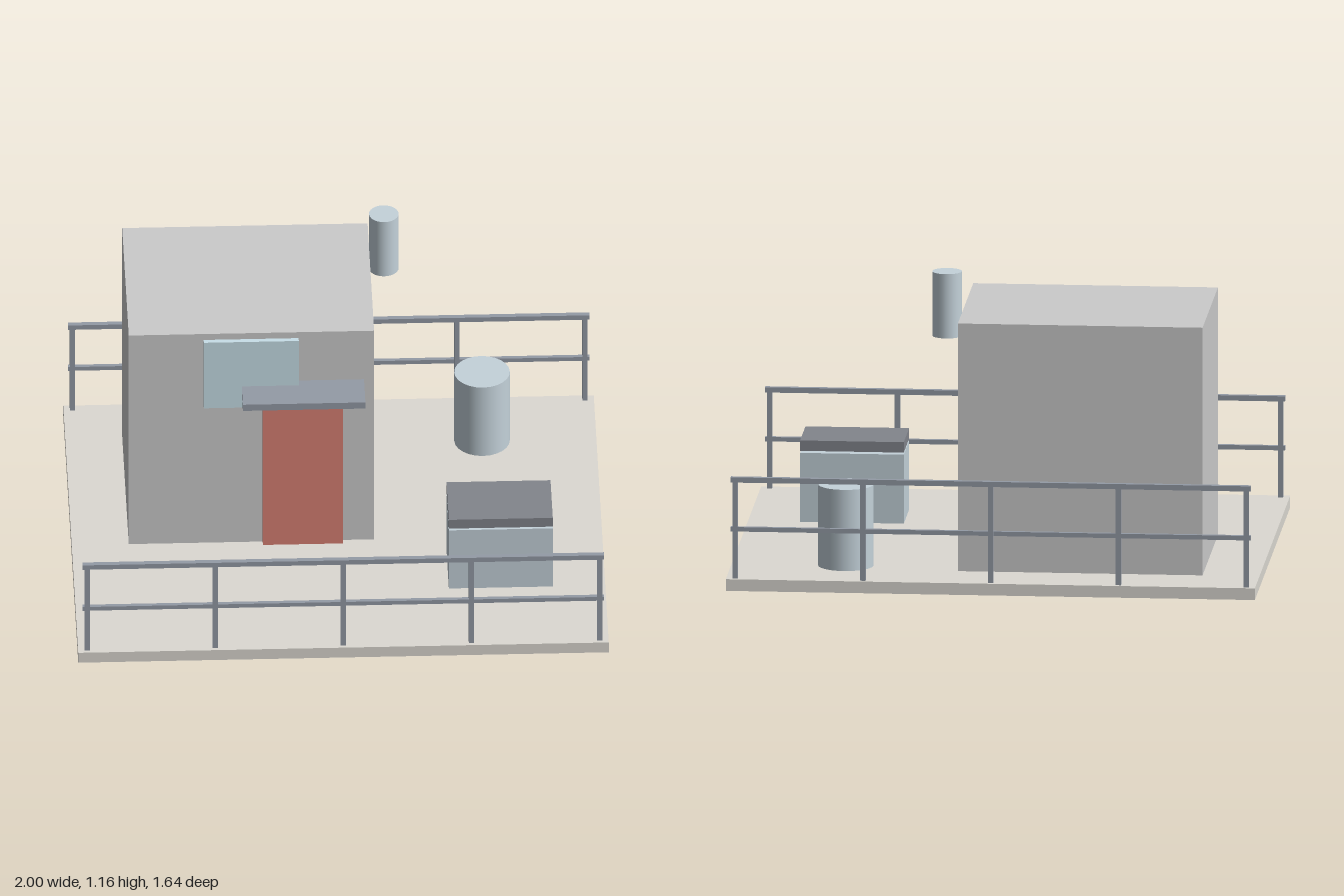
import * as THREE from 'three';

const paint = (color) => new THREE.MeshStandardMaterial({ color });

export function createModel() {
  const model = new THREE.Group();
  const grey = paint(0xcccccc);
  const concrete = paint(0xdcd9d2);
  const red = paint(0xd98073);
  const glass = paint(0xc8dfe8);
  const paleSteel = paint(0xc4d2da);
  const steel = paint(0x949ba6);
  const darkSteel = paint(0x82858c);

  // Box given by its limits on each axis
  const box = (name, mat, [x0, x1], [y0, y1], [z0, z1], parent = model) => {
    const mesh = new THREE.Mesh(new THREE.BoxGeometry(x1 - x0, y1 - y0, z1 - z0), mat);
    mesh.position.set((x0 + x1) / 2, (y0 + y1) / 2, (z0 + z1) / 2);
    mesh.name = name;
    parent.add(mesh);
  };
  // Upright cylinder
  const drum = (name, x, z, r, y0, y1) => {
    const mesh = new THREE.Mesh(new THREE.CylinderGeometry(r, r, y1 - y0, 24), paleSteel);
    mesh.position.set(x, (y0 + y1) / 2, z);
    mesh.name = name;
    model.add(mesh);
  };

  const deck = 0.045;
  box('deck', concrete, [-1, 1], [0, deck], [-0.82, 0.82]);

  // Hut with door, window and canopy
  box('hut', grey, [-0.785, 0.14], [deck, 1], [-0.607, 0.106]);
  box('door', red, [-0.28, 0.022], [deck, 0.717], [0.106, 0.129]);
  box('window', glass, [-0.503, -0.145], [0.682, 0.982], [0.119, 0.138]);
  box('canopy', steel, [-0.36, 0.102], [0.751, 0.779], [0.106, 0.26]);

  // Exhaust pipe on the hut's side and free-standing tank
  drum('exhaustPipe', 0.195, -0.432, 0.056, 0.915, 1.163);
  drum('tank', 0.569, -0.537, 0.105, deck, 0.358);

  // Storage box with lid
  box('storageBox', paleSteel, [0.41, 0.802], [0.048, 0.314], [0.196, 0.446]);
  box('storageLid', darkSteel, [0.41, 0.802], [0.322, 0.362], [0.196, 0.446]);

  // Railings along front and back
  for (const side of [1, -1]) {
    const railing = new THREE.Group();
    railing.name = side > 0 ? 'frontRailing' : 'backRailing';
    const z = side * 0.796;
    const depth = [z - 0.01, z + 0.01];
    for (let i = -2; i <= 2; i++) {
      const x = i * 0.483;
      box('post', steel, [x - 0.01, x + 0.01], [deck, 0.425], depth, railing);
    }
    box('topRail', steel, [-0.983, 0.983], [0.415, 0.435], depth, railing);
    box('midRail', steel, [-0.983, 0.983], [0.226, 0.243], [z - 0.008, z + 0.008], railing);
    model.add(railing);
  }
  return model;
}
